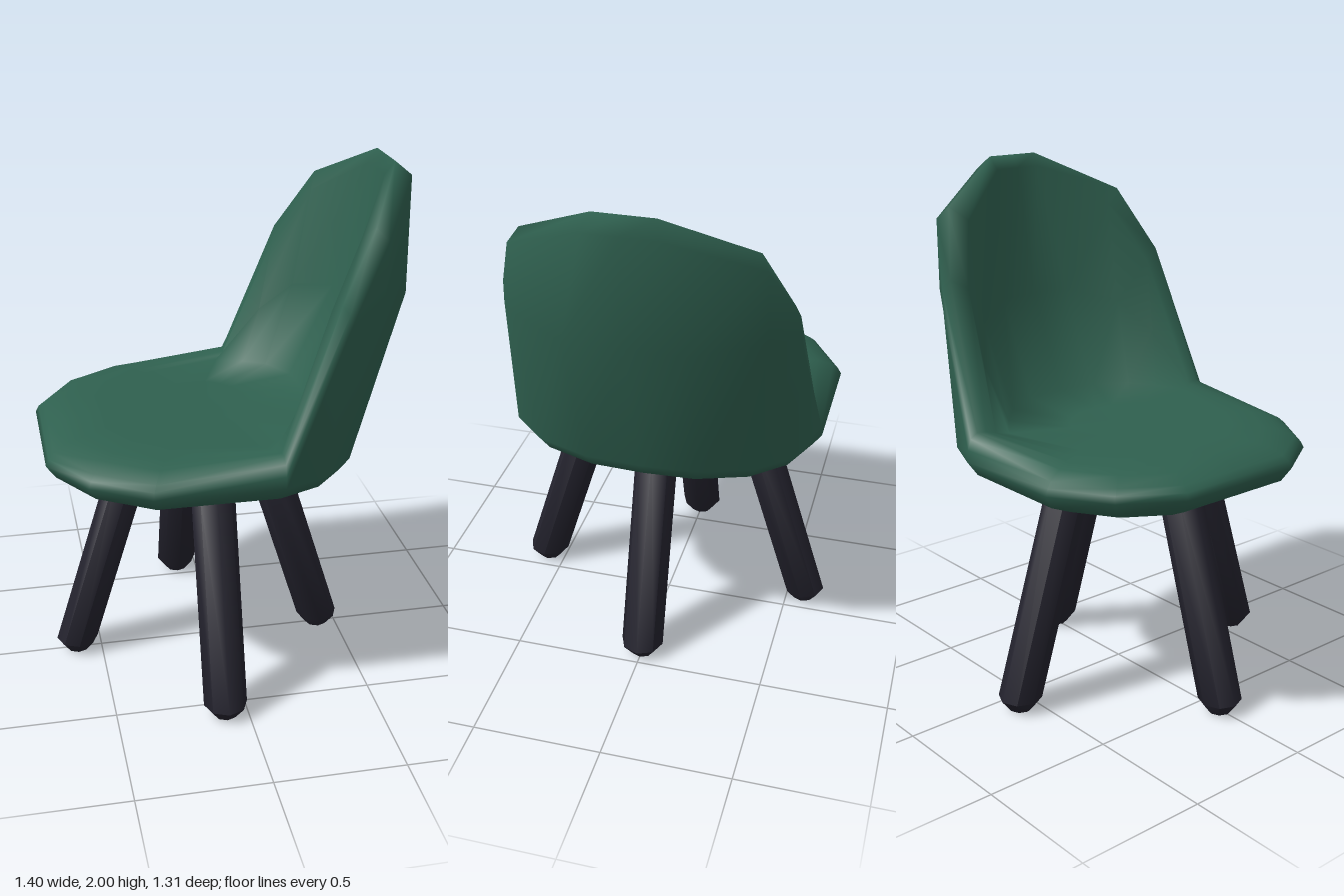
import * as THREE from 'three';
import { toCreasedNormals } from 'three/addons/utils/BufferGeometryUtils.js';

const green = new THREE.MeshStandardMaterial({ color: 0x2f604f });
green.name = 'green shell';
const dark = new THREE.MeshStandardMaterial({ color: 0x23222d });
dark.name = 'dark legs';

const CX = -0.1, CZ = -0.02; // middle of the seat

// Half outline of the seat edge [x, z], from the front round to the back
const edge = [[-0.7, 0], [-0.7, 0.26], [-0.565, 0.475], [-0.35, 0.61], [0.13, 0.61],
  [0.3, 0.54], [0.42, 0.41], [0.49, 0.21], [0.5, 0]];

// Rounded underside rings and front lip rings: [scale, y]
const under = [[0.45, 0.8], [0.74, 0.84], [0.94, 0.9], [1, 0.955]];
const lip = [[0.98, 0.98], [0.945, 1.0], [0.85, 1.025], [0.76, 1.035], [0.68, 1.04], [0.6, 1.045]];

// Backrest columns [x, y, z]: outer wall, outer rim, rim top, inner rim, inner wall, foot
const back = [
  [[0.13, 1.0, 0.605], [0.13, 1.04, 0.59], [0.13, 1.06, 0.56], [0.13, 1.055, 0.52], [0.11, 1.05, 0.49], [0.08, 1.047, 0.45]],
  [[0.35, 1.48, 0.545], [0.36, 1.57, 0.54], [0.34, 1.6, 0.515], [0.32, 1.56, 0.45], [0.26, 1.27, 0.43], [0.18, 1.06, 0.38]],
  [[0.51, 1.53, 0.455], [0.52, 1.8, 0.45], [0.48, 1.845, 0.42], [0.45, 1.79, 0.35], [0.38, 1.4, 0.34], [0.26, 1.07, 0.3]],
  [[0.67, 1.53, 0.22], [0.7, 1.95, 0.13], [0.64, 2.0, 0.11], [0.605, 1.95, 0.1], [0.5, 1.45, 0.16], [0.33, 1.075, 0.16]],
  [[0.67, 1.53, 0], [0.7, 1.95, 0], [0.64, 2.0, 0], [0.605, 1.95, 0], [0.51, 1.45, 0], [0.34, 1.075, 0]],
];

// One column of the shell, from the underside over the edge to the seat top
function column(i) {
  const [x, z] = edge[i];
  const at = ([s, y]) => [CX + (x - CX) * s, y, z * s];
  const upper = i < 4 ? lip.map(at) : back[i - 4];
  const foot = upper[upper.length - 1];
  const inner = [CX + (foot[0] - CX) * 0.5, 1.045, foot[2] * 0.5];
  return [...under.map(at), ...upper, inner];
}

function shellGeometry() {
  const half = edge.map((_, i) => column(i));
  const mirrored = half.slice(1, -1).reverse().map(col => col.map(([x, y, z]) => [x, y, -z]));
  const cols = [...half, ...mirrored];
  const n = cols.length, rows = cols[0].length;
  const pos = [], index = [];
  for (let r = 0; r < rows; r++) {
    for (const col of cols) pos.push(col[r][0], col[r][1], col[r][2] + CZ);
  }
  pos.push(CX, 0.8, CZ, CX, 1.045, CZ);
  const bottom = n * rows, top = bottom + 1;
  for (let c = 0; c < n; c++) {
    const d = (c + 1) % n;
    index.push(bottom, d, c);
    index.push(top, (rows - 1) * n + c, (rows - 1) * n + d);
    for (let r = 0; r < rows - 1; r++) {
      const a = r * n + c, b = r * n + d;
      index.push(a, b, b + n, a, b + n, a + n);
    }
  }
  const geo = new THREE.BufferGeometry();
  geo.setAttribute('position', new THREE.Float32BufferAttribute(pos, 3));
  geo.setIndex(index);
  geo.computeVertexNormals();
  return geo;
}

// Splayed eight-sided leg: an upright lathe leaned inwards by a shear
function legGeometry(dx, dz, reach) {
  const profile = [[0, 0], [0.045, 0], [0.084, 0.05], [0.084, 0.83], [0.05, 0.87], [0, 0.87]];
  const geo = new THREE.LatheGeometry(profile.map(([r, y]) => new THREE.Vector2(r, y)), 8);
  const p = geo.attributes.position;
  for (let i = 0; i < p.count; i++) {
    const out = reach - 0.31 * Math.max(p.getY(i), 0.05);
    p.setX(i, p.getX(i) + dx * out);
    p.setZ(i, p.getZ(i) + dz * out);
  }
  return toCreasedNormals(geo, 0.9);
}

export function createModel() {
  const chair = new THREE.Group();
  chair.name = 'chair';

  // Seat and curved backrest in one shell
  const shell = new THREE.Mesh(shellGeometry(), green);
  shell.name = 'seatShell';
  chair.add(shell);

  // Four legs in a diamond
  const legs = [['frontLeg', -1, 0, 0.525], ['rearLeg', 1, 0, 0.525],
    ['sideLegA', 0, 1, 0.585], ['sideLegB', 0, -1, 0.585]];
  for (const [name, dx, dz, reach] of legs) {
    const leg = new THREE.Mesh(legGeometry(dx, dz, reach), dark);
    leg.name = name;
    leg.position.x = -0.088;
    chair.add(leg);
  }
  return chair;
}
